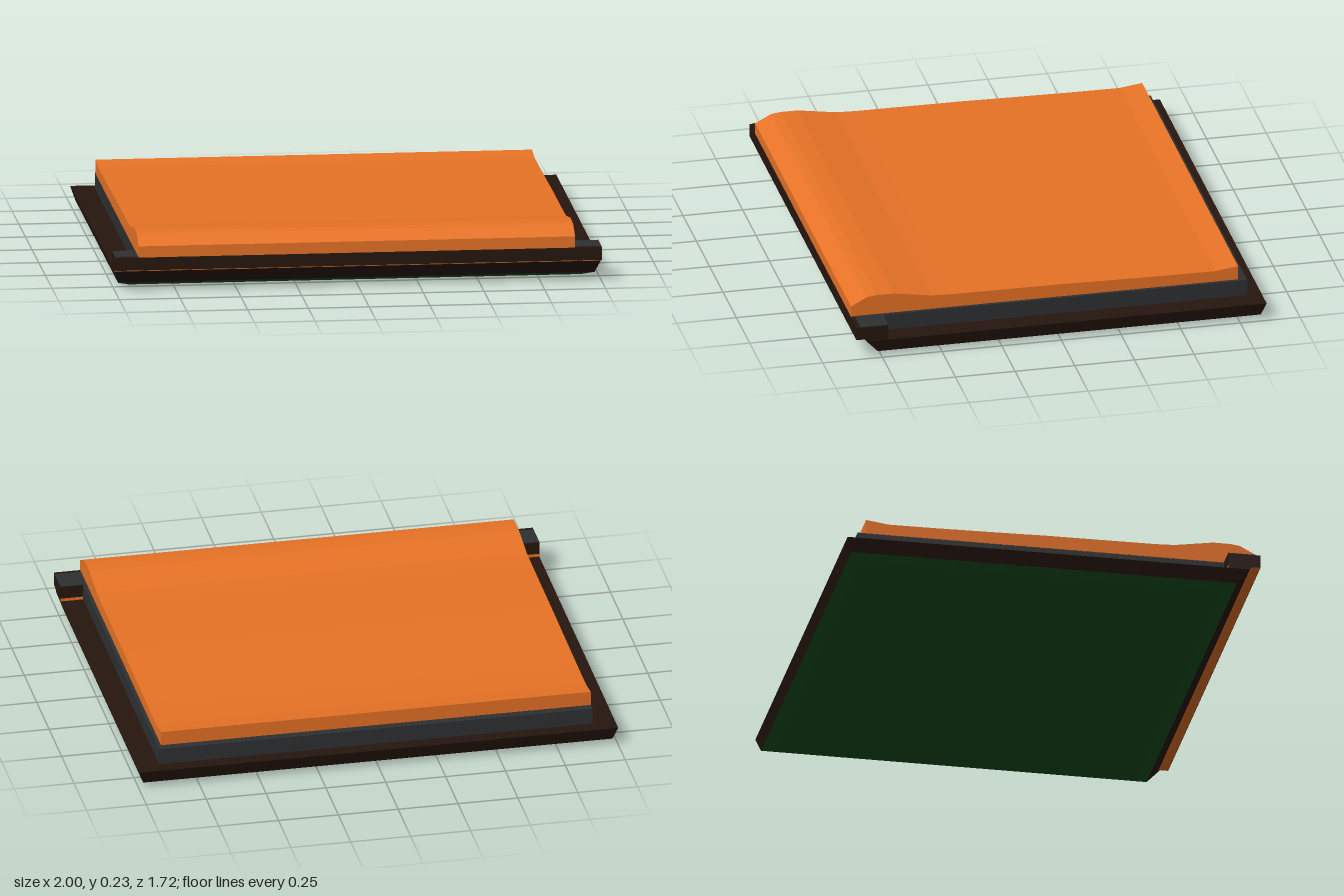
import * as THREE from 'three';

const paint = (color) => new THREE.MeshStandardMaterial({ color, flatShading: true });

// Tapered slab between two rectangles given as [y, halfWidth, zBack, zFront]
function slab(name, bottom, top, material) {
  const geometry = new THREE.BoxGeometry(1, 1, 1);
  const p = geometry.attributes.position;
  for (let i = 0; i < p.count; i++) {
    const [y, w, back, front] = p.getY(i) < 0 ? bottom : top;
    p.setXYZ(i, Math.sign(p.getX(i)) * w, y, p.getZ(i) < 0 ? back : front);
  }
  geometry.computeVertexNormals();
  const mesh = new THREE.Mesh(geometry, material);
  mesh.name = name;
  return mesh;
}

// Side profile of [z, y] points swept across x
function sweep(name, points, x0, x1, material) {
  const shape = new THREE.Shape(points.map(([z, y]) => new THREE.Vector2(-z, y)));
  const geometry = new THREE.ExtrudeGeometry(shape, { depth: x1 - x0, bevelEnabled: false });
  geometry.rotateY(Math.PI / 2).translate(x0, 0, 0);
  const mesh = new THREE.Mesh(geometry, material);
  mesh.name = name;
  return mesh;
}

export function createModel() {
  const group = new THREE.Group();
  group.name = 'seatCushion';
  const orange = paint(0xe87326);
  const brown = paint(0x26160e);
  const charcoal = paint(0x2e3032);
  const green = paint(0x16501c);

  // Shallow tray: chamfered green underside and flared brown rim
  group.add(slab('underside', [0, 0.93, -0.79, 0.71], [0.02, 0.98, -0.84, 0.765], green));
  group.add(slab('trayRim', [0.02, 0.98, -0.84, 0.765], [0.077, 1, -0.86, 0.815], brown));

  // Inner frame under the cushion
  group.add(slab('innerFrame', [0.077, 0.905, -0.8, 0.725], [0.145, 0.905, -0.8, 0.725], charcoal));

  // Front bar with its top plate, and the piping beneath it
  group.add(slab('frontBar', [0.09, 1, 0.725, 0.86], [0.143, 1, 0.725, 0.86], brown));
  group.add(slab('frontBarTop', [0.143, 1, 0.725, 0.842], [0.145, 1, 0.725, 0.842], charcoal));
  group.add(sweep('frontPiping', [
    [0.725, 0.077], [0.815, 0.077], [0.825, 0.088], [0.858, 0.088], [0.858, 0.09], [0.725, 0.09],
  ], -1, 1, [brown, orange]));

  // Padded cushion, raised along the front edge and slightly at the back
  group.add(sweep('cushion', [
    [-0.765, 0.143], [0.857, 0.143], [0.857, 0.19], [0.79, 0.225], [0.75, 0.23], [0.68, 0.23],
    [0.52, 0.205], [0.44, 0.202], [0, 0.2], [-0.25, 0.196], [-0.48, 0.193], [-0.67, 0.192], [-0.765, 0.205],
  ], -0.905, 0.89, orange));

  return group;
}
